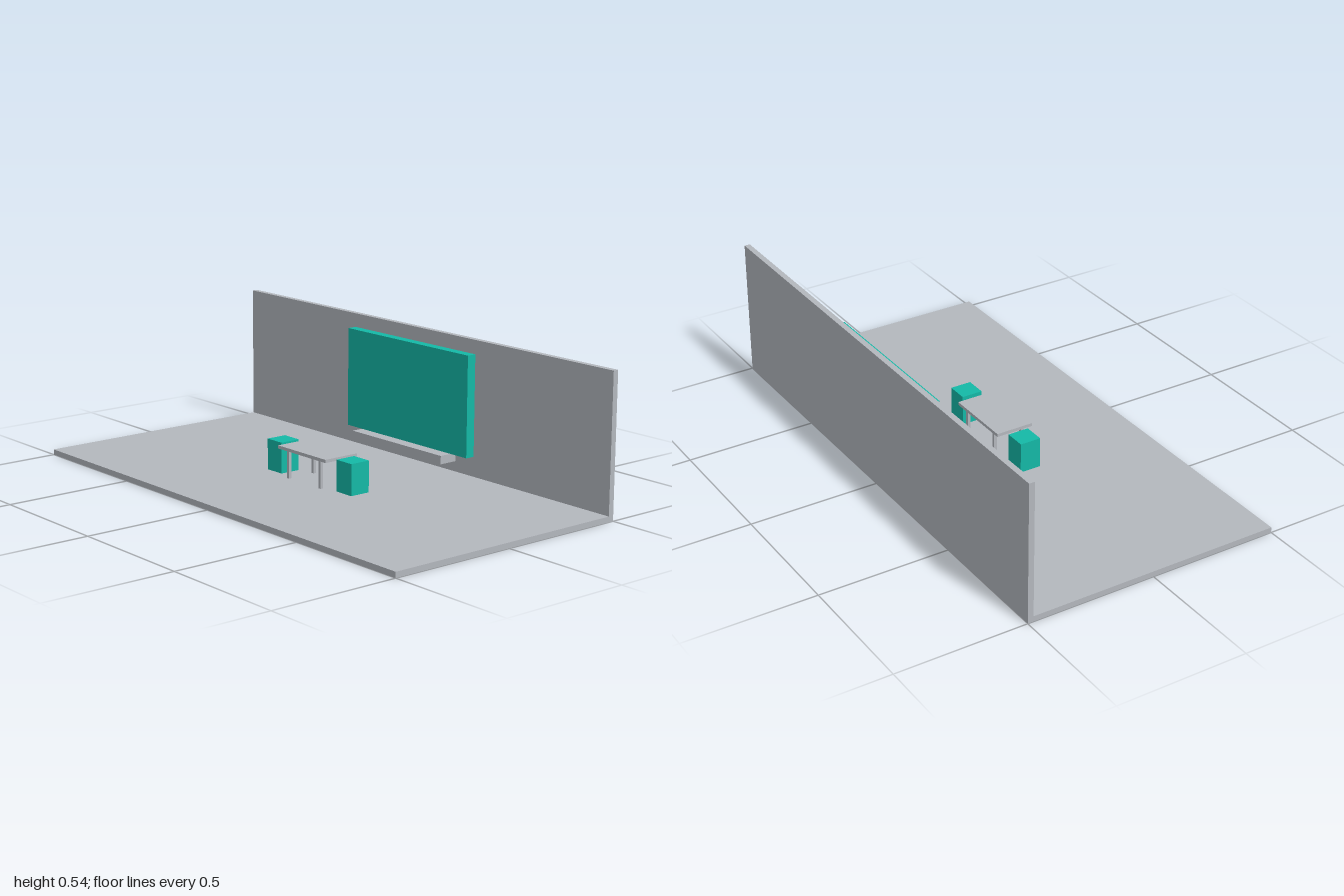
import * as THREE from 'three';

export function createModel() {
  const model = new THREE.Group();
  model.name = 'room';

  const grey = new THREE.MeshStandardMaterial({ name: 'pale grey', color: 0xb3b7bd });
  const teal = new THREE.MeshStandardMaterial({ name: 'teal', color: 0x14b8a6 });

  // Box given by its lower and upper limits on each axis
  function box(name, material, [x0, x1], [y0, y1], [z0, z1], parent = model) {
    const mesh = new THREE.Mesh(new THREE.BoxGeometry(x1 - x0, y1 - y0, z1 - z0), material);
    mesh.position.set((x0 + x1) / 2, (y0 + y1) / 2, (z0 + z1) / 2);
    mesh.name = name;
    parent.add(mesh);
  }

  const floorTop = 0.021;

  // Room shell
  box('floor', grey, [-1, 1], [0, floorTop], [-0.5, 0.5]);
  box('backWall', grey, [-1, 1], [floorTop, 0.535], [-0.5, -0.478]);

  // Wall screen with the shelf below it
  box('screen', teal, [-0.335, 0.335], [0.101, 0.485], [-0.467, -0.43]);
  box('shelf', grey, [-0.25, 0.25], [0.069, 0.101], [-0.456, -0.382]);

  // Table
  const table = new THREE.Group();
  table.name = 'table';
  model.add(table);
  box('tableTop', grey, [-0.136, 0.136], [0.127, 0.139], [-0.074, 0.074], table);
  for (const x of [-0.091, 0.091]) {
    for (const z of [-0.058, 0.058]) {
      box('tableLeg', grey, [x - 0.006, x + 0.006], [floorTop, 0.127], [z - 0.006, z + 0.006], table);
    }
  }

  // Block seats at both ends of the table
  for (const x of [-0.2, 0.2]) {
    box(x > 0 ? 'leftSeat' : 'rightSeat', teal, [x - 0.041, x + 0.041], [floorTop, 0.139], [-0.041, 0.041]);
  }

  return model;
}
